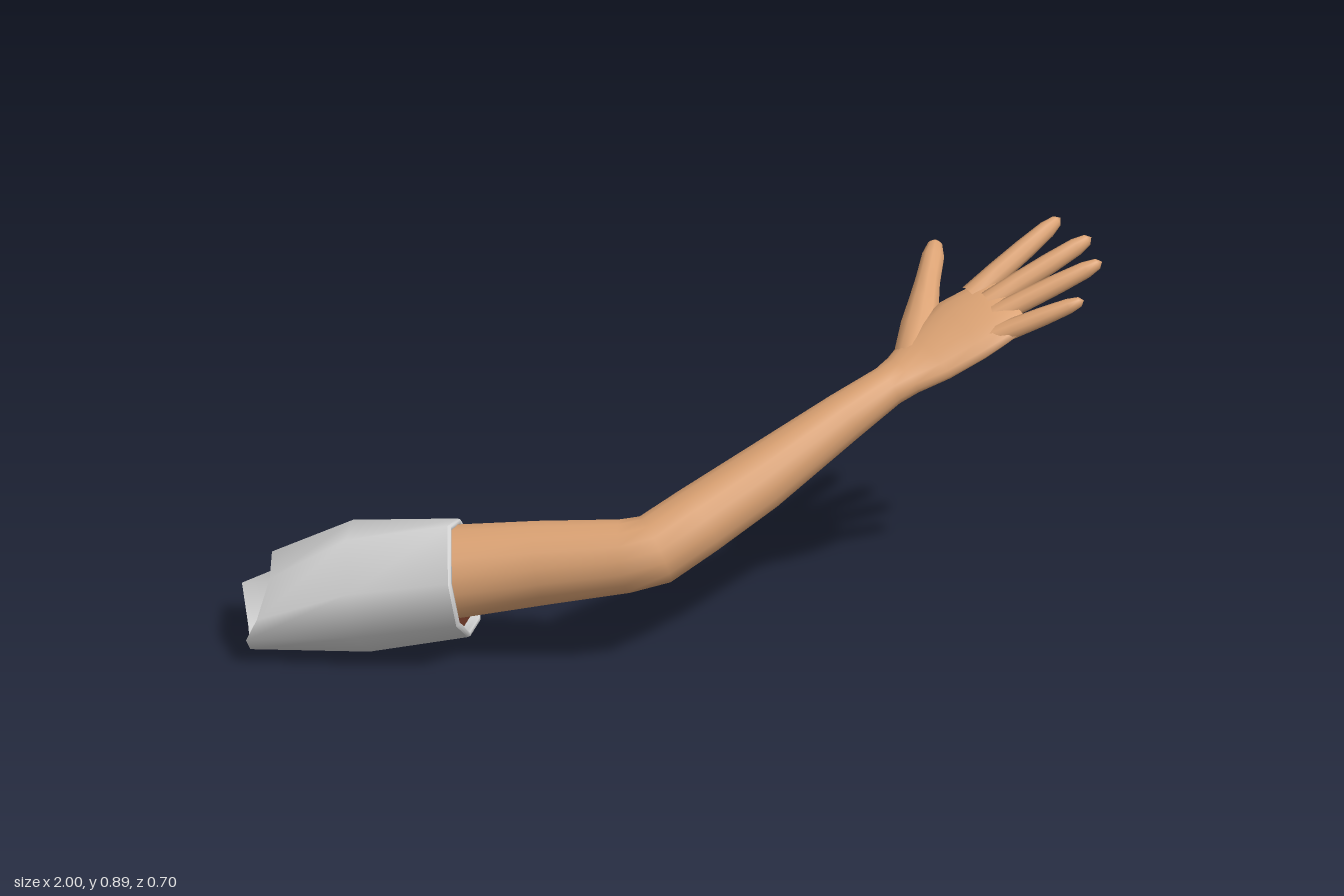
import * as THREE from 'three';

const V = (x, y, z) => new THREE.Vector3(x, y, z);
const skin = new THREE.MeshStandardMaterial({ color: 0xdba273 });
skin.name = 'skin';
const cloth = new THREE.MeshStandardMaterial({ color: 0xd2d2d2, side: THREE.DoubleSide });
cloth.name = 'sleeve cloth';
const lining = new THREE.MeshStandardMaterial({ color: 0x673424, side: THREE.DoubleSide });
lining.name = 'dark lining';

// Skin over rings of points, optionally closed by a pole at the end
function skinRings(rings, pole) {
  const n = rings[0].length;
  const pts = rings.flat();
  const index = [];
  for (let i = 0; i < rings.length - 1; i++) {
    for (let j = 0; j < n; j++) {
      const a = i * n + j, b = i * n + (j + 1) % n;
      index.push(a, b, a + n, b, b + n, a + n);
    }
  }
  if (pole) {
    const base = (rings.length - 1) * n;
    for (let j = 0; j < n; j++) index.push(base + j, base + (j + 1) % n, pts.length);
    pts.push(pole);
  }
  const geo = new THREE.BufferGeometry().setFromPoints(pts);
  geo.setIndex(index);
  geo.computeVertexNormals();
  return geo;
}

// Limb from sections [x, y, z, halfWidth, halfThickness], flattened along the back-of-hand direction
const handUp = V(-0.26, 0.84, 0.47).normalize();
function limb(sections, tip, sides) {
  const centres = sections.map(s => V(s[0], s[1], s[2]));
  const path = [...centres, tip];
  const rings = sections.map((s, i) => {
    const t = path[i + 1].clone().sub(path[Math.max(i - 1, 0)]).normalize();
    const v = handUp.clone().addScaledVector(t, -handUp.dot(t)).normalize();
    const u = v.clone().cross(t);
    return Array.from({ length: sides }, (_, j) => {
      const a = j / sides * Math.PI * 2;
      return centres[i].clone()
        .addScaledVector(u, Math.cos(a) * s[3])
        .addScaledVector(v, Math.sin(a) * (s[4] ?? s[3]));
    });
  });
  return skinRings(rings, tip);
}

// Finger from base to tip with a slight swell at the middle
function finger(base, tip, r0, r1) {
  const profile = [[0, r0], [0.3, r0], [0.6, (r0 + r1) / 2 + 0.001], [0.85, r1], [0.96, r1 * 0.65]];
  const sections = profile.map(([t, r]) => [...V(...base).lerp(V(...tip), t).toArray(), r]);
  return limb(sections, V(...tip), 10);
}

export function createModel() {
  const group = new THREE.Group();
  const add = (name, geo, mat) => {
    const mesh = new THREE.Mesh(geo, mat);
    mesh.name = name;
    group.add(mesh);
  };

  // Upper arm, elbow, forearm and palm in one smooth surface
  add('armAndPalm', limb([
    [-0.505, 0.214, 0.194, 0.11],
    [-0.3, 0.25, 0.225, 0.099],
    [-0.11, 0.283, 0.261, 0.087],
    [-0.04, 0.298, 0.256, 0.085],
    [0.06, 0.35, 0.208, 0.083],
    [0.2, 0.425, 0.142, 0.077],
    [0.4, 0.545, 0.05, 0.06, 0.058],
    [0.5, 0.6, 0.0, 0.052, 0.046],
    [0.535, 0.618, -0.02, 0.06, 0.042],
    [0.596, 0.652, -0.056, 0.086, 0.038],
    [0.674, 0.7, -0.094, 0.104, 0.035],
    [0.735, 0.73, -0.115, 0.1, 0.03],
    [0.768, 0.744, -0.126, 0.093, 0.024],
    [0.788, 0.754, -0.133, 0.08, 0.014],
  ], V(0.793, 0.757, -0.136), 16), skin);

  // Fingers and thumb: base, tip, base radius, end radius
  const digits = {
    indexFinger: [[0.69, 0.752, -0.17], [0.9, 0.888, -0.315], 0.027, 0.021],
    middleFinger: [[0.73, 0.75, -0.14], [0.972, 0.873, -0.237], 0.026, 0.021],
    ringFinger: [[0.74, 0.73, -0.104], [0.997, 0.843, -0.165], 0.025, 0.02],
    littleFinger: [[0.72, 0.692, -0.055], [0.955, 0.785, -0.075], 0.024, 0.018],
  };
  for (const [name, spec] of Object.entries(digits)) add(name, finger(...spec), skin);
  add('thumb', limb([
    [0.55, 0.645, -0.06, 0.04, 0.036],
    [0.571, 0.688, -0.14, 0.046, 0.036],
    [0.583, 0.725, -0.2, 0.037, 0.033],
    [0.592, 0.755, -0.25, 0.03],
    [0.604, 0.79, -0.31, 0.027],
    [0.609, 0.81, -0.338, 0.017],
  ], V(0.61, 0.817, -0.35), 10), skin);

  // Sleeve rings as [z, y] corners lying on planes square to the arm
  const tilt = (x, list) => list.map(([z, y]) => V(x - 0.17 * (y - 0.2) - 0.18 * (z - 0.19), y, z));
  const cuff = tilt(-0.49, [[0.23, 0.345], [0.325, 0.24], [0.32, 0.13], [0.235, 0.065],
    [0.115, 0.053], [0.055, 0.165], [0.073, 0.258], [0.13, 0.32]]);
  const middle = tilt(-0.735, [[0.22, 0.305], [0.297, 0.2], [0.295, 0.09], [0.195, 0.01],
    [0.08, 0.012], [0.015, 0.11], [0.03, 0.23], [0.12, 0.312]]);
  // Torn shoulder end with a notch at the back
  const end = [V(-0.935, 0.2, 0.205), V(-0.965, 0.11, 0.24), V(-0.99, 0.065, 0.255), V(-0.98, 0.005, 0.17),
    V(-0.985, 0.002, 0.03), V(-1, 0.085, -0.03), V(-0.79, 0.205, 0.027), V(-0.93, 0.2, 0.05)];

  // Cuff ring scaled about its centre and slid along the arm
  const axis = V(0.97, 0.165, 0.175).normalize();
  const centre = V(-0.49, 0.2, 0.19);
  const inset = (scale, slide) => cuff.map(p =>
    p.clone().sub(centre).multiplyScalar(scale).add(centre).addScaledVector(axis, slide));

  add('sleeve', skinRings([end, middle, cuff]), cloth);
  add('cuffRim', skinRings([cuff, inset(0.98, 0.007), inset(0.92, 0.007), inset(0.9, 0), inset(0.9, -0.03)]), cloth);
  add('cuffLining', skinRings([inset(0.91, -0.015)], centre.clone().addScaledVector(axis, -0.015)), lining);

  return group;
}
